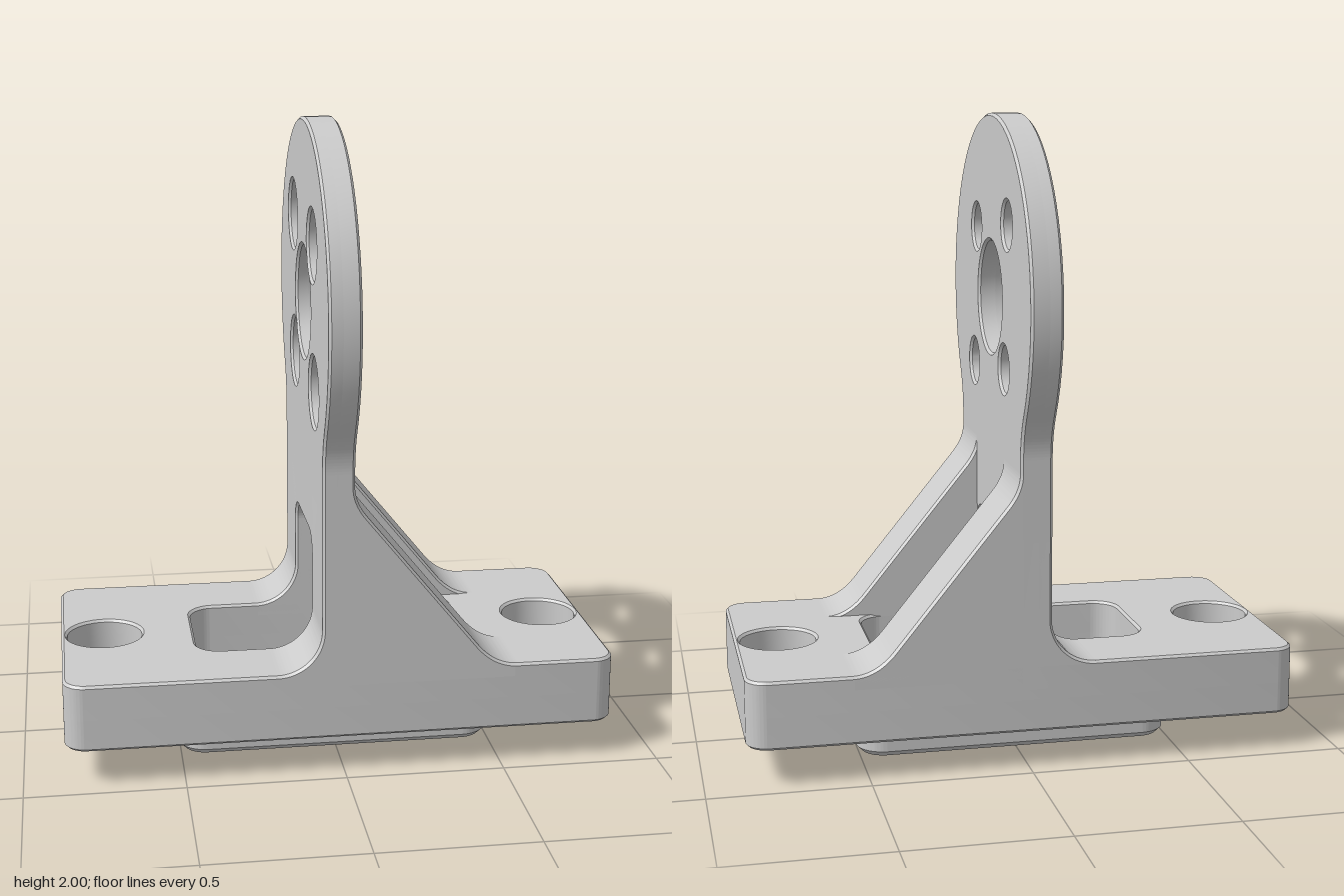
import * as THREE from 'three';
import { toCreasedNormals } from 'three/addons/utils/BufferGeometryUtils.js';

const material = new THREE.MeshStandardMaterial({ color: 0xcccccc });
const EDGE = 0.008;

// Extrude a shape from z = a to z = b with chamfered edges inside its outline
function slab(shape, a, b, bevel = EDGE) {
  const geo = new THREE.ExtrudeGeometry(shape, {
    depth: b - a - 2 * bevel, curveSegments: 24,
    bevelEnabled: true, bevelSegments: 1,
    bevelSize: bevel, bevelThickness: bevel, bevelOffset: -bevel,
  });
  geo.translate(0, 0, a + bevel);
  return geo;
}

function circle(x, y, r) {
  return new THREE.Path().absarc(x, y, r, 0, Math.PI * 2, false);
}

// Centred rounded rectangle with half sizes w, h
function roundRect(w, h, r) {
  const s = new THREE.Shape();
  s.moveTo(w, -h + r);
  s.lineTo(w, h - r);
  s.absarc(w - r, h - r, r, 0, Math.PI / 2, false);
  s.lineTo(-w + r, h);
  s.absarc(-w + r, h - r, r, Math.PI / 2, Math.PI, false);
  s.lineTo(-w, -h + r);
  s.absarc(-w + r, -h + r, r, Math.PI, Math.PI * 1.5, false);
  s.lineTo(w - r, -h);
  s.absarc(w - r, -h + r, r, Math.PI * 1.5, Math.PI * 2, false);
  return s;
}

const slot = () => roundRect(0.44, 0.205, 0.08);

function baseShape(holeRadius) {
  const s = roundRect(0.87, 0.45, 0.07);
  s.holes.push(slot(), circle(0.73, 0, holeRadius), circle(-0.73, 0, holeRadius));
  return s;
}

// Round head on a neck, with an open window between two legs
function plateShape(holeRadius) {
  const R = 0.58, cy = 1.42, neck = 0.45, ny = 0.97, dy = cy - ny;
  const r = (neck * neck + dy * dy - R * R) / (2 * (R - neck)); // neck fillet
  const a = Math.atan2(dy, neck + r);
  const s = new THREE.Shape();
  s.moveTo(neck, 0.25);
  s.lineTo(neck, ny);
  s.absarc(neck + r, ny, r, Math.PI, Math.PI - a, true);
  s.absarc(0, cy, R, -a, Math.PI + a, false);
  s.absarc(-neck - r, ny, r, a, 0, true);
  s.lineTo(-neck, 0.25);
  s.lineTo(-0.205, 0.25);
  s.lineTo(-0.205, 0.63);
  s.absarc(-0.135, 0.63, 0.07, Math.PI, Math.PI / 2, true);
  s.lineTo(0.135, 0.7);
  s.absarc(0.135, 0.63, 0.07, Math.PI / 2, 0, true);
  s.lineTo(0.205, 0.25);
  s.holes.push(circle(0, cy, 0.18));
  for (const [x, y] of [[-0.205, 1.63], [0.245, 1.665], [-0.245, 1.18], [0.205, 1.215]]) {
    s.holes.push(circle(x, y, holeRadius));
  }
  return s;
}

// Side profile of a gusset, blended into the base and the plate
function ribShape() {
  const s = new THREE.Shape();
  s.moveTo(-0.21, 0.28);
  s.lineTo(0.55, 0.28);
  s.lineTo(0.55, 0.33);
  s.quadraticCurveTo(0.477, 0.33, 0.42, 0.4);
  s.lineTo(0.07, 0.83);
  s.quadraticCurveTo(0.03, 0.879, 0.03, 0.93);
  s.lineTo(-0.07, 0.93);
  s.lineTo(-0.07, 0.47);
  s.absarc(-0.21, 0.47, 0.14, 0, -Math.PI / 2, true);
  return s;
}

export function createModel() {
  const group = new THREE.Group();
  const add = (name, geo) => {
    const mesh = new THREE.Mesh(toCreasedNormals(geo, 0.5), material);
    mesh.name = name;
    group.add(mesh);
  };
  const upward = (geo) => geo.rotateX(-Math.PI / 2);
  const sideways = (geo) => geo.rotateY(Math.PI / 2);

  // Base: two overlapping layers form the counterbored screw holes
  add('baseLower', upward(slab(baseShape(0.065), 0.115, 0.226)));
  add('baseUpper', upward(slab(baseShape(0.122), 0.21, 0.33)));

  // Hollow locating boss below the base
  const boss = roundRect(0.505, 0.27, 0.09);
  boss.holes.push(slot());
  add('locatingBoss', upward(slab(boss, 0, 0.15, 0.018)));

  // Upright plate: counterbores open towards -x
  add('plateFront', sideways(slab(plateShape(0.075), -0.035, 0.03)));
  add('plateBack', sideways(slab(plateShape(0.112), -0.07, -0.019)));

  // Pair of gussets
  add('leftRib', slab(ribShape(), 0.205, 0.45));
  add('rightRib', slab(ribShape(), -0.45, -0.205));

  return group;
}
